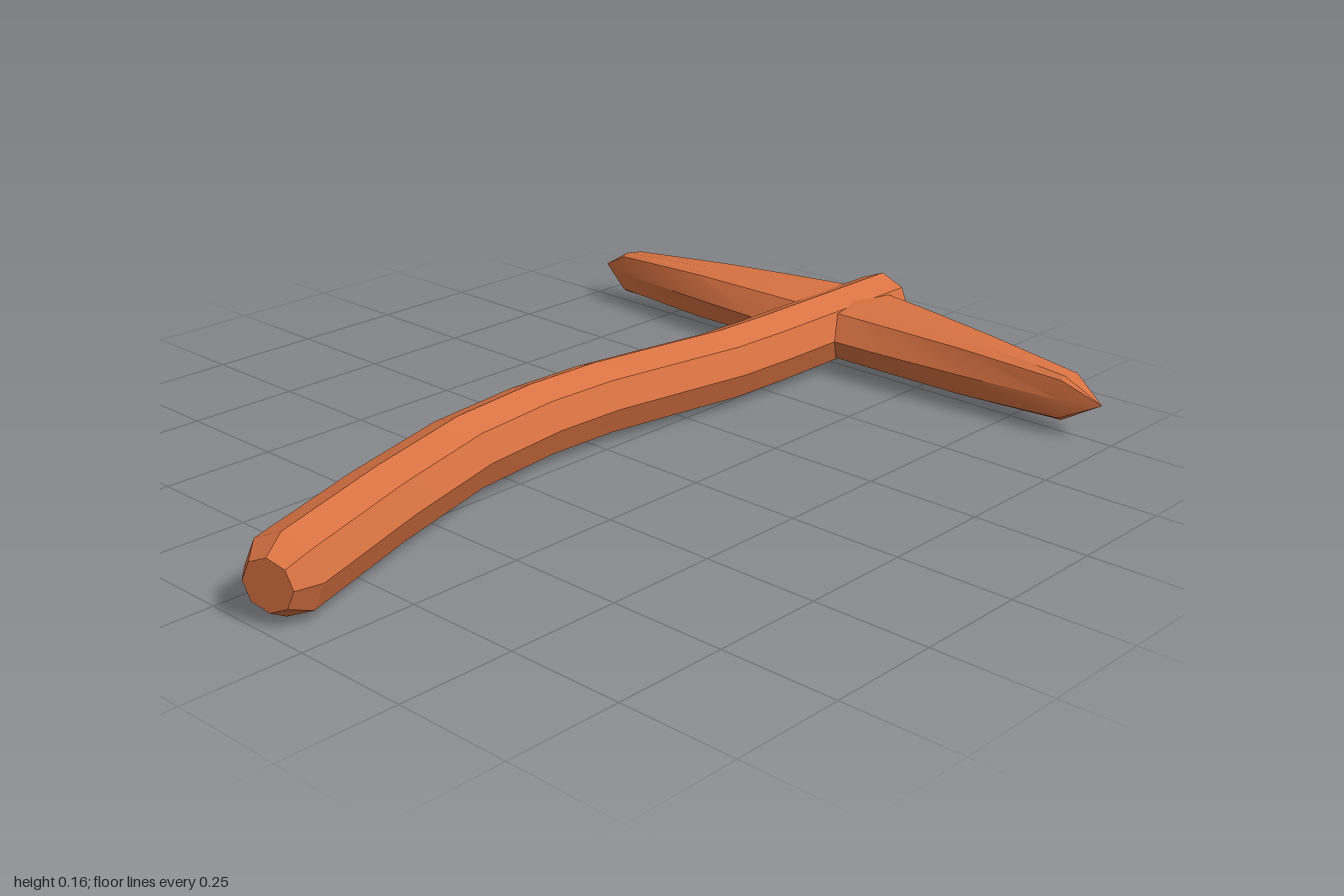
import * as THREE from 'three';
import { toCreasedNormals } from 'three/addons/utils/BufferGeometryUtils.js';

const MID_Y = 0.084;

// Skins closed rings of points and closes each end towards one point
function loft(rings, startPoint, endPoint) {
  const n = rings[0].length;
  const points = [...rings.flat(), startPoint, endPoint];
  const start = rings.length * n, end = start + 1, last = start - n;
  const index = [];
  for (let j = 0; j < n; j++) {
    const k = (j + 1) % n;
    for (let i = 0; i < rings.length - 1; i++) {
      const a = i * n + j, b = i * n + k;
      index.push(a, b, b + n, a, b + n, a + n);
    }
    index.push(start, k, j, end, last + j, last + k);
  }
  const geometry = new THREE.BufferGeometry().setFromPoints(points);
  geometry.setIndex(index);
  // Smooth along the length, sharp between the long facets
  return toCreasedNormals(geometry, 0.45);
}

// Curved octagonal shaft with bevelled ends
function handleGeometry() {
  // x, z, radius
  const path = [
    [-0.982, 0.141, 0.053], [-0.935, 0.125, 0.082], [-0.635, 0.022, 0.082],
    [-0.365, -0.055, 0.082], [-0.14, -0.08, 0.082], [0.04, -0.075, 0.082],
    [0.21, -0.048, 0.082], [0.38, -0.02, 0.082], [0.525, -0.015, 0.082],
    [0.965, -0.015, 0.082], [0.994, -0.015, 0.056],
  ];
  const rings = path.map(([x, z, r], i) => {
    const p = path[Math.max(i - 1, 0)], q = path[Math.min(i + 1, path.length - 1)];
    const t = new THREE.Vector2(q[0] - p[0], q[1] - p[1]).normalize();
    return Array.from({ length: 8 }, (_, j) => {
      const a = (j * Math.PI) / 4, side = r * Math.sin(a);
      return new THREE.Vector3(x - t.y * side, MID_Y + r * Math.cos(a), z + t.x * side);
    });
  });
  const centre = ([x, z]) => new THREE.Vector3(x, MID_Y, z);
  return loft(rings, centre(path[0]), centre(path[path.length - 1]));
}

// Double-ended head with a bevelled section narrowing to two points
function headGeometry() {
  // distance from centre, left edge, left bevel, right bevel, right edge, half height
  const half = [
    [0.05, 0.679, 0.716, 0.908, 0.94, 0.063], [0.11, 0.68, 0.716, 0.897, 0.93, 0.063],
    [0.18, 0.682, 0.716, 0.882, 0.912, 0.063], [0.38, 0.694, 0.716, 0.836, 0.857, 0.062],
    [0.635, 0.716, 0.722, 0.785, 0.793, 0.05],
  ];
  const ring = ([d, l, bl, br, r, h], s) => [
    [r, 0], [br, h * 0.85], [(bl + br) / 2 - 0.02, h], [bl, h * 0.85],
    [l, 0], [bl, -h * 0.85], [(bl + br) / 2 - 0.02, -h], [br, -h * 0.85],
  ].map(([x, y]) => new THREE.Vector3(x, MID_Y + y, s * d));
  const rings = [
    ...[...half].reverse().map((row) => ring(row, -1)),
    ...half.map((row) => ring(row, 1)),
  ];
  const tip = (z) => new THREE.Vector3(0.75, MID_Y, z);
  return loft(rings, tip(-0.72), tip(0.72));
}

export function createModel() {
  const group = new THREE.Group();
  group.name = 'pickaxe';
  const copper = new THREE.MeshStandardMaterial({ color: 0xd87242 });
  copper.name = 'copper orange';

  const handle = new THREE.Mesh(handleGeometry(), copper);
  handle.name = 'handle';
  const head = new THREE.Mesh(headGeometry(), copper);
  head.name = 'head';
  group.add(handle, head);
  return group;
}
